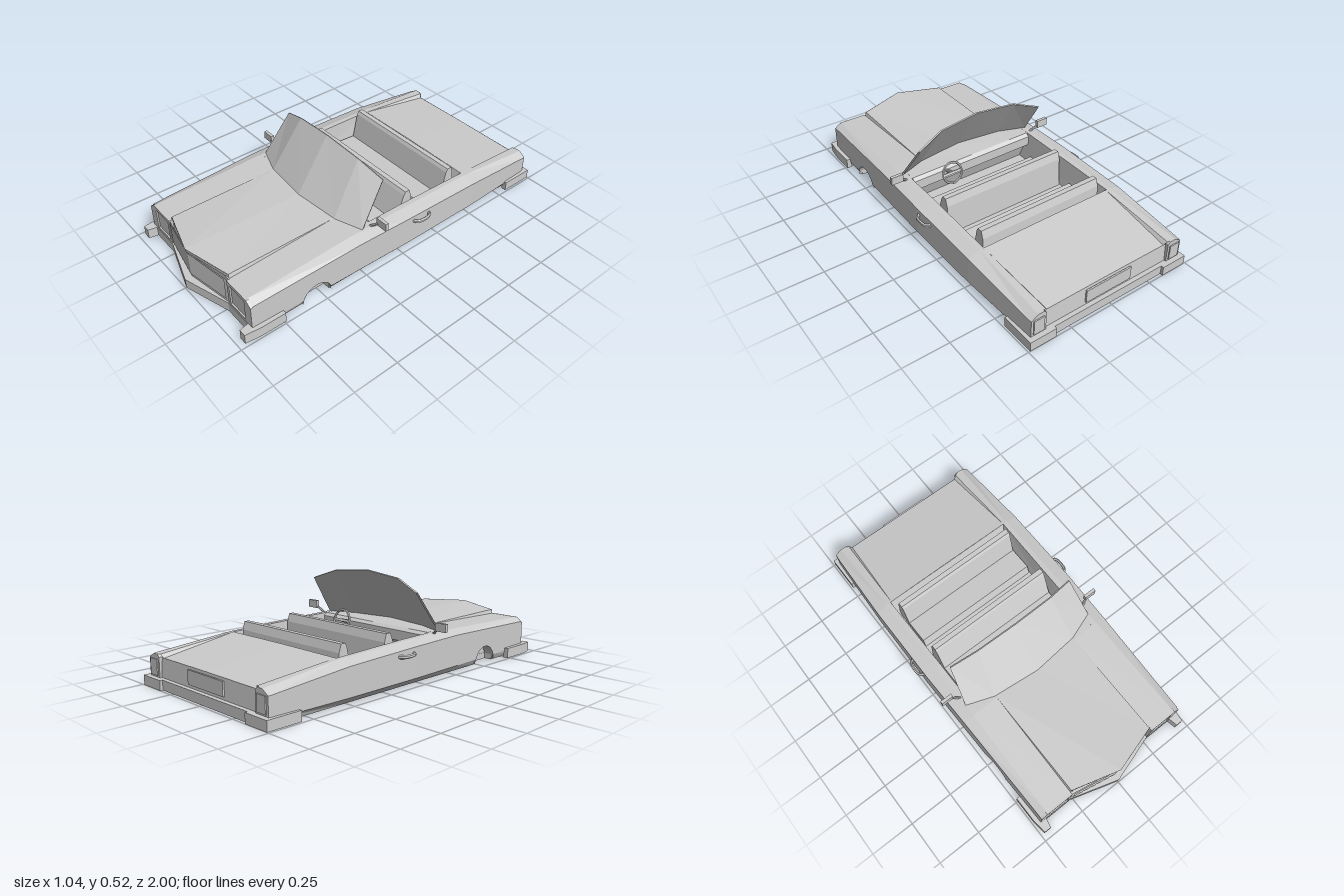
import * as THREE from 'three';

const paint = new THREE.MeshStandardMaterial({ color: 0xcccccc, flatShading: true, side: THREE.DoubleSide });
paint.name = 'plain grey';

// Body stations: z, half width, shoulder height, top height, top edge x, inner edge x
const stations = [
  [0.9, 0.465, 0.19, 0.213, 0.425, 0.4],
  [0.28, 0.48, 0.21, 0.231, 0.42, 0.39],
  [-0.05, 0.488, 0.207, 0.227, 0.42, 0.39],
  [-0.515, 0.487, 0.193, 0.215, 0.42, 0.395],
  [-0.965, 0.47, 0.15, 0.175, 0.43, 0.382],
];
// Interpolated station at any z
function at(z) {
  let i = 0;
  while (i < stations.length - 2 && z < stations[i + 1][0]) i++;
  const a = stations[i], b = stations[i + 1], t = (z - a[0]) / (b[0] - a[0]);
  return a.map((v, k) => v + (b[k] - v) * t);
}

export function createModel() {
  const model = new THREE.Group();
  const add = (name, geo, parent = model) => {
    const m = new THREE.Mesh(geo, paint);
    m.name = name;
    parent.add(m);
    return m;
  };
  // Grid surface through rows of points
  const surface = (rows) => {
    const pos = [], idx = [], n = rows[0].length;
    rows.forEach((r) => r.forEach((p) => pos.push(...p)));
    for (let i = 0; i < rows.length - 1; i++)
      for (let j = 0; j < n - 1; j++) {
        const a = i * n + j;
        idx.push(a, a + n, a + 1, a + 1, a + n, a + n + 1);
      }
    const g = new THREE.BufferGeometry();
    g.setAttribute('position', new THREE.Float32BufferAttribute(pos, 3));
    g.setIndex(idx);
    g.computeVertexNormals();
    return g;
  };
  // Row of points mirrored about x = 0
  const both = (half) => [...half.slice(1).reverse().map(([x, y, z]) => [-x, y, z]), ...half];
  const poly = (pts) => new THREE.Shape(pts.map(([x, y]) => new THREE.Vector2(x, y)));
  const box = (x0, x1, y0, y1, z0, z1) =>
    new THREE.BoxGeometry(x1 - x0, y1 - y0, z1 - z0).translate((x0 + x1) / 2, (y0 + y1) / 2, (z0 + z1) / 2);
  // Mirrored plan outline of [x, z] raised from y0 to y1
  const plan = (half, y0, y1) => {
    const pts = [...half, ...half.filter(([x]) => x > 0).reverse().map(([x, z]) => [-x, z])];
    return new THREE.ExtrudeGeometry(poly(pts.map(([x, z]) => [x, -z])), { depth: y1 - y0, bevelEnabled: false })
      .rotateX(-Math.PI / 2).translate(0, y0, 0);
  };
  // Outline of [z, y] extruded across the car
  const across = (pts, w) =>
    new THREE.ExtrudeGeometry(poly(pts.map(([z, y]) => [-z, y])), { depth: 2 * w, bevelEnabled: false })
      .translate(0, 0, -w).rotateY(Math.PI / 2);
  // Rectangular frame facing +z
  const frame = (outline, hole, depth) => {
    const s = poly(outline);
    s.holes.push(poly(hole));
    return new THREE.ExtrudeGeometry(s, { depth, bevelEnabled: false });
  };
  const rect = (x0, x1, y0, y1) => [[x0, y0], [x1, y0], [x1, y1], [x0, y1]];

  const archZ = 0.54, archY = 0.02, archR = 0.085;

  // Parts on both sides
  for (const s of [1, -1]) {
    const side = new THREE.Group();
    side.name = s > 0 ? 'leftSide' : 'rightSide';
    side.scale.x = s;
    model.add(side);

    // Front wing with wheel arch
    const a0 = Math.asin((0.045 - archY) / archR), arc = [];
    for (let i = 0; i <= 16; i++) {
      const a = a0 + (i / 16) * (Math.PI - 2 * a0);
      arc.push([archZ + archR * Math.cos(a), archY + archR * Math.sin(a)]);
    }
    const wing = new THREE.ShapeGeometry(poly([[0.9, 0.045], [0.9, 0.19], [0.28, 0.21], [0.28, 0.045], ...arc.slice().reverse()]));
    const p = wing.attributes.position;
    for (let i = 0; i < p.count; i++) {
      const z = p.getX(i);
      p.setXYZ(i, at(z)[1], p.getY(i), z);
    }
    wing.computeVertexNormals();
    add('frontWing', wing, side);
    add('rearSidePanel', surface(stations.slice(1).map(([z, w, sh]) => [[w, 0.045, z], [w, sh, z]])), side);
    add('shoulder', surface(stations.map(([z, w, sh, t, xt, xi]) => [[w, sh, z], [xt, t, z], [xi, t, z]])), side);

    // Sloping sill, interrupted by the arch
    for (const zs of [[0.9, 0.621], [0.459, 0.28, -0.05, -0.515, -0.965]])
      add('sill', surface(zs.map((z) => [[at(z)[1], 0.045, z], [0.455, 0.012, z]])), side);

    // Wheel well
    add('wheelWell', new THREE.CylinderGeometry(archR, archR, 0.06, 24, 1, true, 0, Math.PI)
      .rotateZ(Math.PI / 2).translate(0.442, archY, archZ), side);
    add('wheelWellBack', new THREE.CircleGeometry(archR, 24, 0, Math.PI)
      .rotateY(Math.PI / 2).translate(0.413, archY, archZ), side);

    // Headlight surround and lamp
    add('headlightSurround', frame(
      [[0.268, 0.05], [0.465, 0.05], [0.465, 0.185], [0.43, 0.211], [0.268, 0.211]],
      rect(0.287, 0.411, 0.073, 0.191), 0.025).translate(0, 0, 0.887), side);
    add('headlight', box(0.29, 0.408, 0.076, 0.188, 0.887, 0.905), side);

    // Tail lamp
    add('tailLampHousing', new THREE.ExtrudeGeometry(
      poly([[0.382, 0.05], [0.468, 0.05], [0.468, 0.15], [0.43, 0.174], [0.395, 0.174], [0.382, 0.16]]),
      { depth: 0.018, bevelEnabled: false }).translate(0, 0, -0.973), side);
    add('tailLamp', box(0.395, 0.455, 0.065, 0.148, -0.979, -0.972), side);

    // Door handle loop
    const loop = new THREE.CatmullRomCurve3([[0.482, -0.075], [0.505, -0.09], [0.512, -0.13], [0.505, -0.17], [0.482, -0.185]]
      .map(([x, z]) => new THREE.Vector3(x, 0, z)));
    add('doorHandle', new THREE.TubeGeometry(loop, 12, 0.008, 6).scale(1, 1.3, 1).translate(0, 0.176, 0), side);

    // Wing mirror on its arm
    add('mirror', box(0.45, 0.518, 0.25, 0.294, 0.13, 0.148), side);
    add('mirrorArm', new THREE.TubeGeometry(new THREE.LineCurve3(
      new THREE.Vector3(0.415, 0.225, 0.16), new THREE.Vector3(0.46, 0.262, 0.142)), 1, 0.007, 6), side);

    // Cockpit wall
    add('cockpitWall', surface([0.28, -0.05, -0.515].map((z) => [[at(z)[5], at(z)[3], z], [0.375, 0.05, z]])), side);
  }

  // Underbody and bumpers
  add('underbody', plan([[0, 0.94], [0.26, 0.885], [0.455, 0.885], [0.455, 0.622], [0.415, 0.622],
    [0.415, 0.458], [0.455, 0.458], [0.455, -0.965], [0, -0.965]], 0.012, 0.045));
  add('frontBumper', plan([[0, 0.995], [0.265, 0.915], [0.43, 0.915], [0.44, 0.965], [0.48, 0.965], [0.49, 0.88],
    [0.49, 0.74], [0.463, 0.74], [0.463, 0.88], [0.26, 0.88], [0, 0.945]], 0.004, 0.06));
  add('rearBumper', plan([[0, -0.985], [0.34, -0.985], [0.34, -1], [0.49, -1], [0.49, -0.81],
    [0.463, -0.81], [0.463, -0.95], [0, -0.95]], 0.004, 0.056));

  // Bonnet with raised centre and pointed nose
  add('bonnet', surface([
    both([[0, 0.25, 0.97], [0.262, 0.235, 0.895], [0.268, 0.213, 0.895], [0.402, 0.213, 0.9]]),
    both([[0, 0.236, 0.28], [0.262, 0.232, 0.28], [0.264, 0.231, 0.28], [0.39, 0.231, 0.28]]),
    both([[0, 0.23, 0.15], [0.262, 0.23, 0.15], [0.264, 0.23, 0.15], [0.39, 0.229, 0.15]]),
  ]));
  add('bonnetLip', surface([
    both([[0, 0.25, 0.97], [0.265, 0.235, 0.895]]),
    both([[0, 0.226, 0.966], [0.265, 0.215, 0.894]]),
    both([[0, 0.215, 0.955], [0.265, 0.21, 0.89]]),
  ]));
  add('noseSurround', surface([
    both([[0, 0.215, 0.955], [0.265, 0.21, 0.908]]),
    both([[0, 0.05, 0.955], [0.265, 0.05, 0.908]]),
  ]));
  add('grille', surface([
    both([[0, 0.218, 0.961], [0.254, 0.208, 0.915]]),
    both([[0, 0.08, 0.961], [0.254, 0.08, 0.915]]),
  ]));
  add('noseBulkhead', box(-0.464, 0.464, 0.04, 0.19, 0.87, 0.89));

  // Boot lid and tail
  add('bootLid', surface([
    both([[0, 0.217, -0.515], [0.39, 0.215, -0.515], [0.395, 0.215, -0.515]]),
    both([[0, 0.158, -0.955], [0.367, 0.155, -0.955], [0.382, 0.175, -0.965]]),
  ]));
  add('tailPanel', surface([
    both([[0, 0.158, -0.955], [0.385, 0.156, -0.955], [0.468, 0.15, -0.96]]),
    both([[0, 0.04, -0.963], [0.385, 0.04, -0.963], [0.468, 0.04, -0.963]]),
  ]));
  add('rearPlate', box(-0.14, 0.14, 0.072, 0.145, -0.969, -0.96));

  // Cockpit
  add('cockpitFloor', box(-0.385, 0.385, 0.045, 0.055, -0.515, 0.2));
  add('cockpitRearWall', surface([
    [[-0.395, 0.215, -0.515], [0.395, 0.215, -0.515]],
    [[-0.375, 0.05, -0.47], [0.375, 0.05, -0.47]],
  ]));
  add('dashboard', across([[0.2, 0.05], [0.17, 0.13], [0.13, 0.16], [0.13, 0.215], [0.15, 0.23], [0.28, 0.23], [0.28, 0.05]], 0.385));

  // Bench seats
  const back = [[-0.05, 0.08], [-0.112, 0.25], [-0.122, 0.268], [-0.15, 0.268], [-0.163, 0.225], [-0.172, 0.055]];
  add('frontSeatBack', across(back, 0.37));
  add('frontSeatCushion', across([[0.1, 0.055], [0.085, 0.105], [-0.08, 0.1], [-0.1, 0.055]], 0.37));
  add('rearSeatBack', across(back.map(([z, y]) => [Math.min(z - 0.31, -0.385), y]), 0.37));
  add('rearSeatCushion', across([[-0.238, 0.055], [-0.255, 0.115], [-0.41, 0.105], [-0.43, 0.055]], 0.37));

  // Steering wheel
  const wheel = new THREE.Group();
  wheel.name = 'steeringWheel';
  wheel.position.set(0.18, 0.225, 0.075);
  wheel.rotation.x = 0.3;
  model.add(wheel);
  add('wheelRim', new THREE.TorusGeometry(0.058, 0.007, 6, 24), wheel);
  add('wheelSpoke', box(-0.056, 0.056, -0.007, 0.007, -0.004, 0.004), wheel);
  add('steeringColumn', new THREE.CylinderGeometry(0.01, 0.01, 0.08, 8).rotateX(Math.PI / 2).translate(0, 0, 0.04), wheel);

  // Wraparound windscreen, a thin closed shell
  const top = both([[0, 0.527, 0.1], [0.235, 0.506, 0.09], [0.39, 0.45, 0.06]]);
  const base = both([[0, 0.228, 0.3], [0.265, 0.228, 0.27], [0.42, 0.226, 0.215]]);
  const inner = (row) => row.map(([x, y, z]) => [x * 0.99, y - 0.003, z - 0.007]);
  add('windscreen', surface([base, top, inner(top), inner(base)]));

  return model;
}
